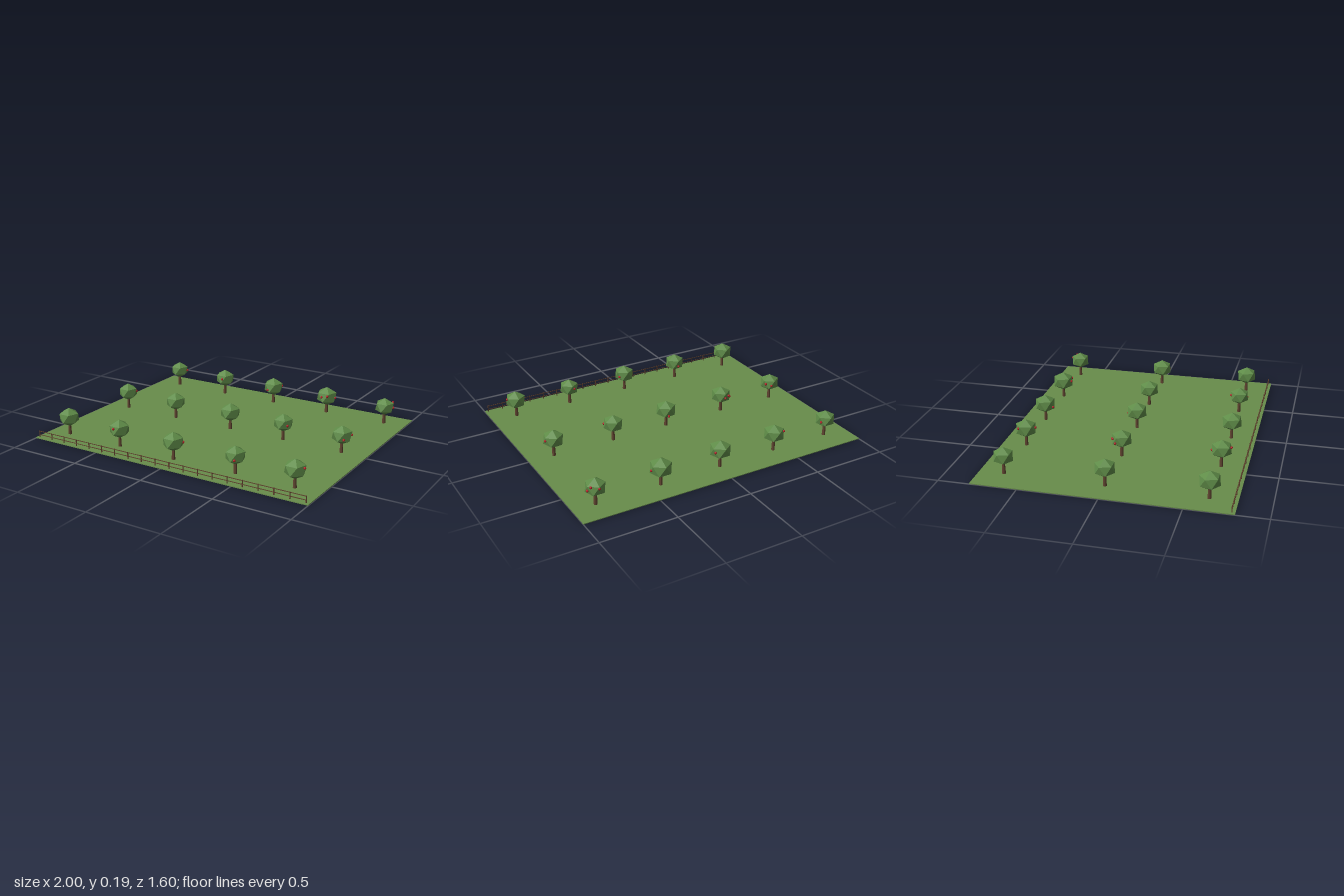
import * as THREE from 'three';

const material = (name, color) => {
  const m = new THREE.MeshStandardMaterial({ color });
  m.name = name;
  return m;
};

// x, z, crown scale, fruit as [angle in degrees from +x towards +z, height]
const TREES = [
  [-0.83, -0.64, 0.95, [[-27, 0.12]]],
  [-0.42, -0.64, 1.0, [[-150, 0.14], [80, 0.13]]],
  [-0.01, -0.645, 1.02, [[-30, 0.13], [105, 0.11]]],
  [0.415, -0.65, 1.06, [[100, 0.13], [62, 0.14], [0, 0.12]]],
  [0.85, -0.65, 0.96, [[-90, 0.14], [-40, 0.15], [-15, 0.12]]],
  [-0.84, 0, 0.97, [[-70, 0.12], [-30, 0.13]]],
  [-0.43, 0, 0.98, [[-120, 0.13], [-90, 0.12], [-150, 0.11]]],
  [0.01, -0.005, 1.0, [[-80, 0.1]]],
  [0.41, -0.01, 0.97, [[35, 0.12]]],
  [0.83, -0.005, 1.0, [[-15, 0.13], [55, 0.11]]],
  [-0.85, 0.63, 1.0, []],
  [-0.43, 0.635, 0.98, [[92, 0.14], [-90, 0.11]]],
  [-0.01, 0.64, 1.0, [[-30, 0.12]]],
  [0.43, 0.63, 0.95, [[-105, 0.13], [65, 0.11]]],
  [0.83, 0.63, 1.0, [[0, 0.14]]],
];

export function createModel() {
  const model = new THREE.Group();
  model.name = 'orchard';
  const grass = material('grass', 0x688c4b);
  const leaf = material('leaf', 0x5f8c48);
  const bark = material('bark', 0x604430);
  const apple = material('apple red', 0xb51c24);
  const wood = material('fence wood', 0x5e3f2c);
  leaf.flatShading = true;
  bark.flatShading = true;

  const add = (parent, name, geometry, mat, x, y, z) => {
    const mesh = new THREE.Mesh(geometry, mat);
    mesh.name = name;
    mesh.position.set(x, y, z);
    parent.add(mesh);
    return mesh;
  };

  // Ground slab
  add(model, 'ground', new THREE.BoxGeometry(2, 0.005, 1.6), grass, 0, 0.0025, 0);

  // Shared tree parts; the crown stands on a corner and is slightly flattened
  const crownGeo = new THREE.IcosahedronGeometry(0.072, 0);
  crownGeo.rotateX(-Math.atan((1 + Math.sqrt(5)) / 2));
  crownGeo.rotateY(Math.PI);
  crownGeo.scale(1, 0.87, 1);
  const trunkGeo = new THREE.CylinderGeometry(0.009, 0.012, 0.08, 7);
  const appleGeo = new THREE.SphereGeometry(0.0085, 8, 6);

  // Rows of trees
  for (const [x, z, size, fruit] of TREES) {
    const tree = new THREE.Group();
    tree.name = 'tree';
    tree.position.set(x, 0, z);
    add(tree, 'trunk', trunkGeo, bark, 0, 0.044, 0);
    add(tree, 'crown', crownGeo, leaf, 0, 0.124, 0).scale.setScalar(size);
    for (const [deg, y] of fruit) {
      const a = THREE.MathUtils.degToRad(deg);
      add(tree, 'apple', appleGeo, apple, 0.061 * size * Math.cos(a), y, 0.061 * size * Math.sin(a));
    }
    model.add(tree);
  }

  // Fence along the front edge
  const fence = new THREE.Group();
  fence.name = 'fence';
  const postGeo = new THREE.BoxGeometry(0.005, 0.046, 0.005);
  const railGeo = new THREE.BoxGeometry(1.965, 0.004, 0.003);
  const posts = 20;
  for (let i = 0; i < posts; i++) {
    add(fence, 'fencePost', postGeo, wood, -0.98 + (1.96 * i) / (posts - 1), 0.027, 0.78);
  }
  for (const y of [0.022, 0.046]) add(fence, 'fenceRail', railGeo, wood, 0, y, 0.78);
  model.add(fence);

  return model;
}
